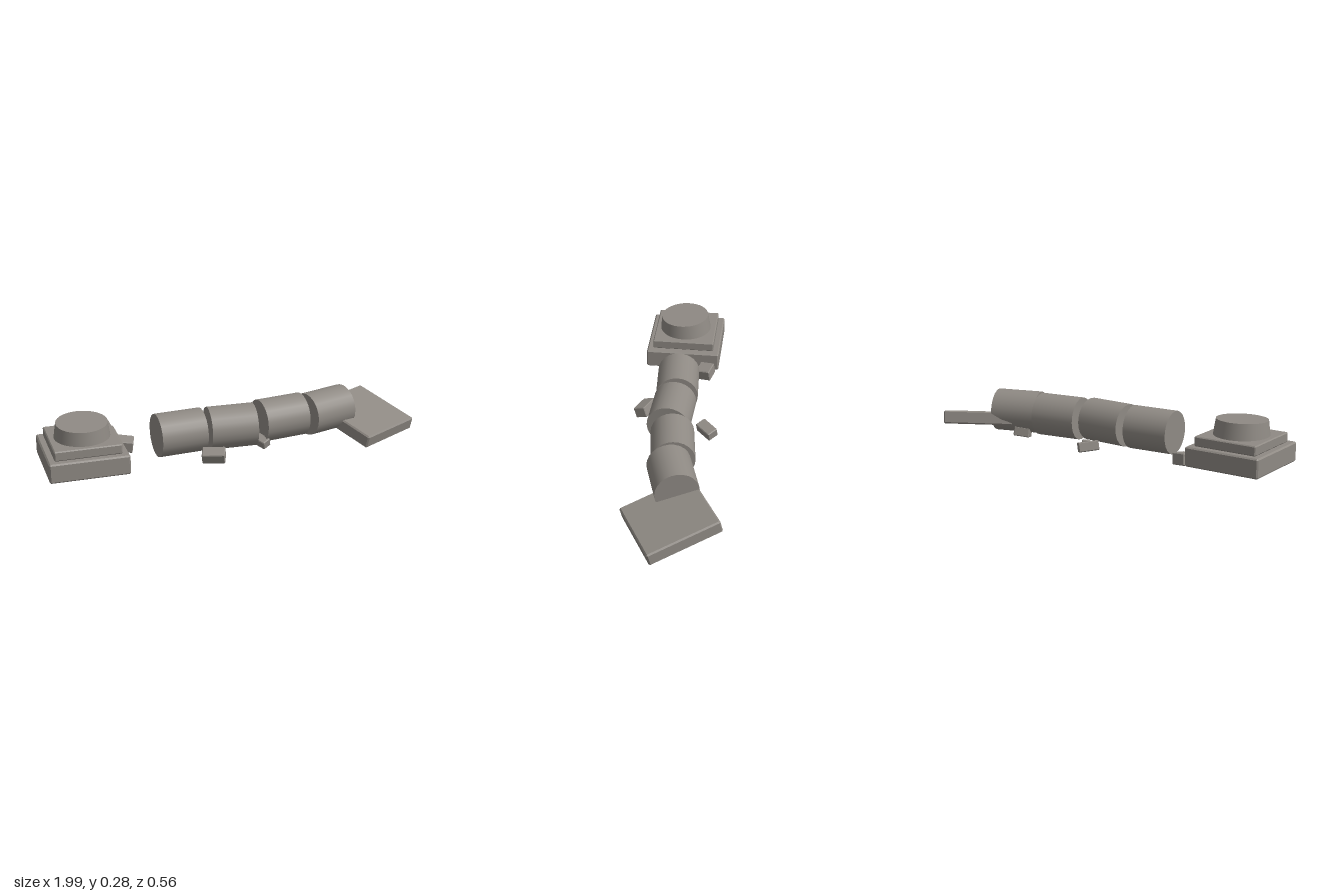
import * as THREE from 'three';
import { ConvexGeometry } from 'three/addons/geometries/ConvexGeometry.js';

// Box with small flat chamfers on every edge
function chamferBox(w, h, d, c) {
  const points = [];
  for (const x of [-w / 2, w / 2])
    for (const y of [-h / 2, h / 2])
      for (const z of [-d / 2, d / 2]) {
        const ix = x - Math.sign(x) * c, iy = y - Math.sign(y) * c, iz = z - Math.sign(z) * c;
        points.push(
          new THREE.Vector3(x, iy, iz),
          new THREE.Vector3(ix, y, iz),
          new THREE.Vector3(ix, iy, z)
        );
      }
  return new ConvexGeometry(points);
}

export function createModel() {
  const model = new THREE.Group();
  model.name = 'fallenColumn';
  const stone = new THREE.MeshStandardMaterial({ color: 0x8f8a84 });
  stone.name = 'weatheredStone';

  function add(name, geometry, position, rotation = [0, 0, 0]) {
    const mesh = new THREE.Mesh(geometry, stone);
    mesh.name = name;
    mesh.position.set(...position);
    mesh.rotation.set(...rotation, 'YXZ');
    model.add(mesh);
    return mesh;
  }

  // Standing pedestal: plinth, step and the broken foot of the shaft
  add('plinth', chamferBox(0.4, 0.1, 0.4, 0.007), [-0.8, 0.1, 0.065]);
  add('plinthStep', chamferBox(0.335, 0.05, 0.335, 0.005), [-0.8, 0.175, 0.065]);
  add('shaftStump', new THREE.CylinderGeometry(0.129, 0.143, 0.1, 32), [-0.8, 0.226, 0.07], [0.047, 0, 0]);

  // Toppled drums in a curved line: x, z, yaw
  const drumGeometry = new THREE.CylinderGeometry(0.111, 0.111, 0.241, 24).rotateZ(Math.PI / 2);
  const drums = [
    [-0.302, 0.056, 0.07],
    [-0.028, 0.056, -0.04],
    [0.253, 0.017, 0.135],
    [0.511, -0.014, 0.29],
  ];
  drums.forEach(([x, z, yaw], i) => add(`drum${i + 1}`, drumGeometry, [x, 0.151, z], [0, yaw, 0]));

  // Capital slab leaning at the far end
  add('capitalSlab', chamferBox(0.375, 0.07, 0.382, 0.007), [0.741, 0.081, -0.03], [0.24, 0.494, 0]);

  // Rubble: size, position, rotation
  const rubble = [
    [[0.085, 0.06, 0.08], [-0.556, 0.068, -0.068], [0.1, -0.28, -0.12]],
    [[0.115, 0.057, 0.068], [-0.165, 0.073, 0.214], [0.35, -0.36, 0.05]],
    [[0.105, 0.05, 0.06], [-0.023, 0.06, -0.128], [0.25, 0.75, -0.1]],
    [[0.05, 0.045, 0.075], [0.128, 0.062, 0.095], [0.15, 0.5, 0.3]],
    [[0.085, 0.05, 0.06], [0.455, 0.052, -0.06], [0.2, 0.4, 0.1]],
    [[0.045, 0.03, 0.035], [0.06, 0.045, -0.03], [0.2, 0.6, 0.1]],
  ];
  rubble.forEach(([size, position, rotation], i) =>
    add(`rubble${i + 1}`, chamferBox(...size, 0.004), position, rotation));

  return model;
}
